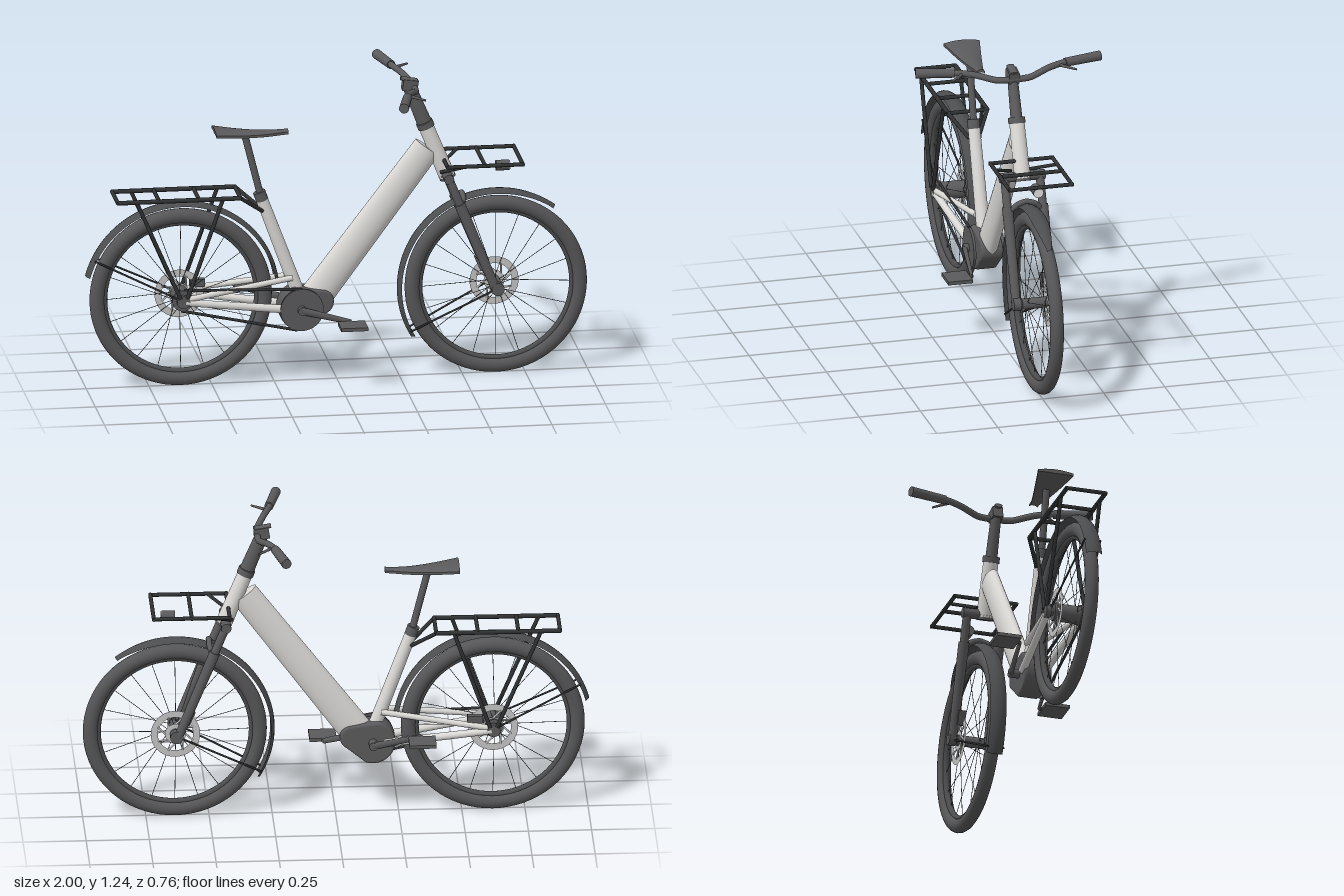
import * as THREE from 'three';

const mat = (name, color, side = THREE.FrontSide) => {
  const m = new THREE.MeshStandardMaterial({ color, side });
  m.name = name;
  return m;
};

export function createModel() {
  const frame = mat('light grey paint', 0xdad9d6);
  const dark = mat('dark grey', 0x5a5a5c);
  const rubber = mat('tyre rubber', 0x565658);
  const black = mat('black metal', 0x2f3132);
  const guard = mat('mudguard grey', 0x4c4d4f, THREE.DoubleSide);
  const steel = mat('brushed steel', 0xc4c4c4, THREE.DoubleSide);
  const lens = mat('lamp lens', 0xe4e4e2);

  const bike = new THREE.Group();
  bike.name = 'bicycle';
  const V = (x, y, z = 0) => new THREE.Vector3(x, y, z);
  const UP = V(0, 1, 0);

  function add(name, geo, material, pos = V(0, 0, 0), parent = bike) {
    const mesh = new THREE.Mesh(geo, material);
    mesh.name = name;
    mesh.position.copy(pos);
    parent.add(mesh);
    return mesh;
  }
  // straight tube from a to b; flat squeezes it sideways
  function rod(name, a, b, r, material, { r2 = r, flat = 1, sides = 16, parent = bike } = {}) {
    const dir = b.clone().sub(a);
    const geo = new THREE.CylinderGeometry(r2, r, dir.length(), sides);
    geo.scale(1, 1, flat);
    const mesh = add(name, geo, material, a.clone().add(b).multiplyScalar(0.5), parent);
    mesh.quaternion.setFromUnitVectors(UP, dir.normalize());
    return mesh;
  }
  function bent(name, pts, r, material) {
    const curve = new THREE.CatmullRomCurve3(pts, false, 'catmullrom', 0.3);
    return add(name, new THREE.TubeGeometry(curve, 64, r, 12), material);
  }
  const bothSides = (fn) => [1, -1].forEach(fn);

  const REAR = V(-0.623, 0.365), FRONT = V(0.635, 0.365), CRANK = V(-0.147, 0.307);
  const steer = (y, z = 0) => V(0.29 + (1.19 - y) * 0.405, y, z);

  // wheels
  function wheel(name, centre, hubR) {
    const g = new THREE.Group();
    g.name = name;
    g.position.copy(centre);
    bike.add(g);
    const tyre = new THREE.TorusGeometry(0.334, 0.03, 16, 72);
    tyre.scale(1, 1, 0.92);
    add('tyre', tyre, rubber, V(0, 0), g);
    const rim = new THREE.TorusGeometry(0.306, 0.013, 10, 72);
    add('rim', rim, guard, V(0, 0), g);
    rod('hub', V(0, 0, -0.055), V(0, 0, 0.055), hubR, dark, { sides: 24, parent: g });
    rod('axle', V(0, 0, -0.085), V(0, 0, 0.085), 0.016, dark, { parent: g });
    for (let i = 0; i < 20; i++) {
      const a = (i / 20) * Math.PI * 2, b = a + (i % 4 < 2 ? 0.25 : -0.25);
      rod('spoke', V(Math.cos(b) * hubR, Math.sin(b) * hubR, i % 2 ? 0.035 : -0.035),
        V(Math.cos(a) * 0.3, Math.sin(a) * 0.3), 0.0013, dark, { sides: 5, parent: g });
    }
    // brake disc on the far side: ring, carrier and arms
    add('brakeDiscRing', new THREE.RingGeometry(0.07, 0.098, 48), steel, V(0, 0, -0.045), g);
    add('brakeDiscCentre', new THREE.RingGeometry(0.02, 0.042, 32), steel, V(0, 0, -0.045), g);
    for (let i = 0; i < 8; i++) {
      const a = (i / 8) * Math.PI * 2;
      rod('brakeDiscArm', V(Math.cos(a) * 0.04, Math.sin(a) * 0.04, -0.045),
        V(Math.cos(a + 0.4) * 0.075, Math.sin(a + 0.4) * 0.075, -0.045), 0.004, steel, { sides: 6, parent: g });
    }
  }
  wheel('rearWheel', REAR, 0.036);
  wheel('frontWheel', FRONT, 0.022);

  // mudguards: a shallow curved section swept round the wheel, narrowing at its first end
  function mudguard(name, centre, from, to, stayAngle, taper) {
    const pts = [-1, -0.75, -0.4, 0, 0.4, 0.75, 1].map((t) => new THREE.Vector2(0.395 - 0.016 * t * t, t * 0.033));
    const rad = Math.PI / 180;
    const geo = new THREE.LatheGeometry(pts, 48, (from + 90) * rad, (to - from) * rad);
    geo.rotateX(Math.PI / 2);
    const p = geo.attributes.position;
    for (let i = 0; i < p.count; i++) {
      const past = Math.atan2(p.getY(i), p.getX(i)) / rad - from;
      if (past > -1 && past < taper) p.setZ(i, p.getZ(i) * Math.sqrt(Math.max(0.1, past / taper)));
    }
    add(name, geo, guard, centre);
    const c = Math.cos(stayAngle * rad) * 0.385, s = Math.sin(stayAngle * rad) * 0.385;
    bothSides((k) => rod(name + 'Stay', V(centre.x, centre.y, k * 0.07),
      V(centre.x + c, centre.y + s, k * 0.032), 0.004, black, { sides: 8 }));
  }
  mudguard('rearMudguard', REAR, 6, 165, 154, 0);
  mudguard('frontMudguard', FRONT, 53, 211, 207, 24);

  // frame
  rod('downTube', V(-0.09, 0.335), V(0.362, 0.94), 0.066, frame, { r2: 0.058, flat: 0.55, sides: 32 });
  rod('headTube', steer(0.82), steer(1.03), 0.033, frame, { r2: 0.03, sides: 24 });
  rod('seatTube', V(-0.15, 0.35), V(-0.307, 0.775), 0.027, frame, { r2: 0.024, sides: 24 });
  bothSides((k) => {
    rod('lowerStay', V(-0.615, 0.362, k * 0.075), V(-0.19, 0.305, k * 0.042), 0.014, frame, { r2: 0.017 });
    rod('upperStay', V(-0.615, 0.372, k * 0.075), V(-0.18, 0.43, k * 0.022), 0.012, frame);
    rod('dropout', V(-0.623, 0.365, k * 0.067), V(-0.623, 0.365, k * 0.087), 0.026, dark);
  });

  // seat post and saddle
  rod('seatPost', V(-0.294, 0.73), V(-0.368, 1.025), 0.014, dark);
  rod('seatClamp', V(-0.298, 0.75), V(-0.31, 0.785), 0.025, dark);
  // saddle: straight wedge with thin edges and a deeper middle
  const saddle = new THREE.BoxGeometry(1, 1, 1, 24, 1, 10);
  const sp = saddle.attributes.position;
  for (let i = 0; i < sp.count; i++) {
    const u = sp.getX(i) + 0.5, t = sp.getZ(i) * 2, top = sp.getY(i) > 0;
    const w = 0.074 - 0.057 * Math.min(1, u * 1.1);
    const crown = 1.053 - 0.016 * Math.sin(u * Math.PI * 0.7);
    const depth = 0.01 + 0.018 * (1 - Math.abs(t)) * Math.sin(Math.PI * Math.min(1, 0.15 + u * 0.8));
    sp.setXYZ(i, -0.49 + u * 0.295, crown - 0.009 * t * t - (top ? 0 : depth), t * w);
  }
  saddle.computeVertexNormals();
  add('saddle', saddle, dark);

  // motor and drive
  const housing = new THREE.Shape();
  housing.absarc(0, 0, 0.08, Math.PI * 0.6, Math.PI * 1.6, false);
  housing.absarc(0.08, 0.022, 0.042, -Math.PI * 0.35, Math.PI * 0.5, false);
  housing.closePath();
  const motor = new THREE.ExtrudeGeometry(housing, {
    depth: 0.066, bevelEnabled: true, bevelSize: 0.009, bevelThickness: 0.012, bevelSegments: 3, curveSegments: 20 });
  add('motor', motor, dark, V(CRANK.x, CRANK.y, -0.033));
  rod('chainring', V(CRANK.x, CRANK.y, 0.054), V(CRANK.x, CRANK.y, 0.064), 0.086, dark, { sides: 48 });
  rod('sprocket', V(REAR.x, REAR.y, 0.054), V(REAR.x, REAR.y, 0.064), 0.042, dark, { sides: 32 });
  rod('lowerBelt', V(-0.628, 0.323, 0.059), V(-0.165, 0.224, 0.059), 0.006, black, { sides: 8 });
  rod('upperBelt', V(-0.618, 0.407, 0.059), V(-0.147, 0.392, 0.059), 0.006, black, { sides: 8 });
  rod('crankAxle', V(CRANK.x, CRANK.y, -0.085), V(CRANK.x, CRANK.y, 0.085), 0.018, dark);
  bothSides((k) => {
    const end = V(CRANK.x + k * 0.189, CRANK.y - k * 0.046, k * 0.1);
    rod('crankArm', V(CRANK.x, CRANK.y, k * 0.078), end, 0.016, dark, { r2: 0.011, flat: 0.6 });
    rod('pedalAxle', end, V(end.x, end.y, k * 0.13), 0.007, dark);
    add('pedal', new THREE.BoxGeometry(0.107, 0.014, 0.1), dark, V(end.x, end.y, k * 0.16));
  });

  // fork
  rod('forkCrown', V(0.436, 0.828, -0.092), V(0.436, 0.828, 0.092), 0.02, dark);
  rod('forkSteerer', steer(0.81), steer(0.83), 0.033, dark);
  bothSides((k) => {
    rod('forkUpperLeg', steer(0.835, k * 0.072), steer(0.68, k * 0.072), 0.017, dark);
    rod('forkLowerLeg', steer(0.72, k * 0.072), V(0.624, 0.365, k * 0.074), 0.022, dark, { r2: 0.018 });
    rod('forkEnd', V(0.632, 0.365, k * 0.06), V(0.632, 0.365, k * 0.09), 0.026, dark);
  });
  bent('forkBrace', [steer(0.7, 0.07), V(0.5, 0.735, 0.035), V(0.5, 0.745), V(0.5, 0.735, -0.035), steer(0.7, -0.07)], 0.011, dark);
  add('frontCaliper', new THREE.BoxGeometry(0.035, 0.06, 0.03), dark, V(0.585, 0.44, -0.052)).rotation.z = 0.4;
  add('rearCaliper', new THREE.BoxGeometry(0.06, 0.03, 0.03), dark, V(-0.55, 0.405, -0.052));

  // stem and handlebar
  rod('stem', steer(1.035), steer(1.19), 0.03, dark, { r2: 0.026, flat: 0.78, sides: 24 });
  rod('headsetCap', steer(1.022), steer(1.045), 0.034, dark, { sides: 24 });
  add('stemClamp', new THREE.BoxGeometry(0.06, 0.045, 0.042), dark, V(0.292, 1.2)).rotation.z = -0.15;
  rod('stemDisplay', V(0.255, 1.228), V(0.32, 1.217), 0.008, dark, { flat: 2 });
  bent('handlebar', [V(0.215, 1.217, -0.37), V(0.25, 1.217, -0.22), V(0.275, 1.211, -0.15), V(0.305, 1.192, -0.07), V(0.31, 1.19),
    V(0.305, 1.192, 0.07), V(0.275, 1.211, 0.15), V(0.25, 1.217, 0.22), V(0.215, 1.217, 0.37)], 0.013, dark);
  bothSides((k) => {
    rod('grip', V(0.25, 1.217, k * 0.225), V(0.214, 1.217, k * 0.377), 0.018, dark, { r2: 0.02 });
    rod('brakeLever', V(0.258, 1.214, k * 0.195), V(0.318, 1.21, k * 0.255), 0.007, dark, { r2: 0.004 });
  });

  // rear carrier
  const yR = 0.785, R = { sides: 10 };
  bothSides((k) => {
    rod('carrierRail', V(-0.885, yR, k * 0.08), V(-0.395, yR, k * 0.08), 0.009, black, R);
    rod('carrierFrontArm', V(-0.395, yR, k * 0.08), V(-0.3, 0.71, k * 0.02), 0.008, black, R);
    rod('carrierRearStrut', V(-0.81, yR, k * 0.08), V(-0.635, 0.38, k * 0.085), 0.008, black, R);
    rod('carrierFrontStrut', V(-0.465, yR, k * 0.08), V(-0.608, 0.38, k * 0.085), 0.008, black, R);
  });
  for (const x of [-0.885, -0.72, -0.56, -0.395])
    rod('carrierCrossbar', V(x, yR, -0.085), V(x, yR, 0.085), 0.008, black, R);

  // front carrier and lamp
  const yF = 0.89;
  bothSides((k) => {
    rod('frontCarrierRail', V(0.425, yF, k * 0.127), V(0.725, yF, k * 0.127), 0.008, black, R);
    rod('frontCarrierArm', V(0.41, 0.845, k * 0.04), V(0.5, yF, k * 0.127), 0.007, black, R);
  });
  for (const x of [0.425, 0.575, 0.725])
    rod('frontCarrierCrossbar', V(x, yF, -0.133), V(x, yF, 0.133), 0.008, black, R);
  rod('lampBody', V(0.635, 0.852), V(0.688, 0.852), 0.021, dark, { sides: 24 });
  rod('lampLens', V(0.687, 0.852), V(0.691, 0.852), 0.019, lens, { sides: 24 });

  return bike;
}
